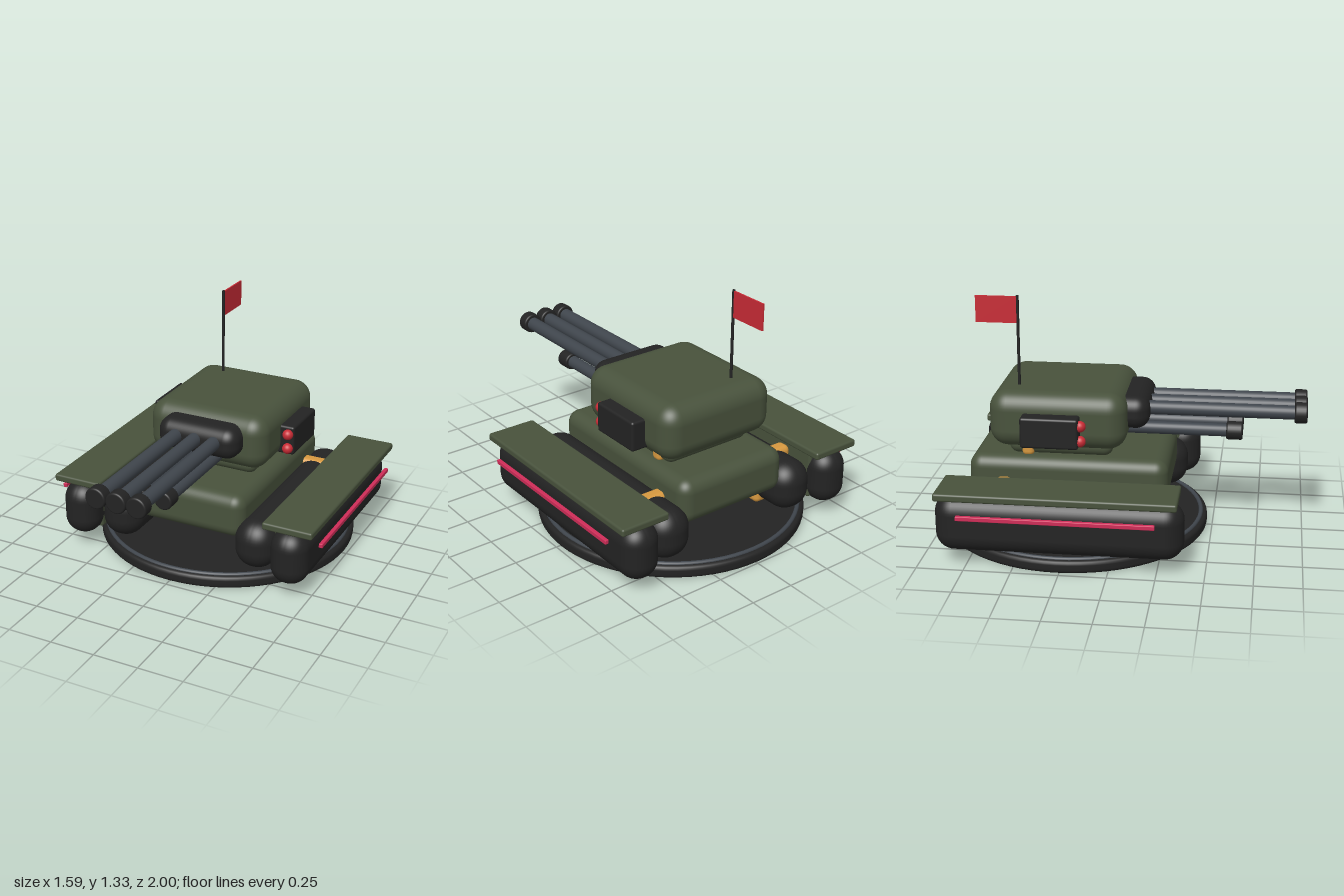
import * as THREE from 'three';
import { RoundedBoxGeometry } from 'three/addons/geometries/RoundedBoxGeometry.js';

const material = (name, color) => {
  const m = new THREE.MeshStandardMaterial({ color });
  m.name = name;
  return m;
};

export function createModel() {
  const olive = material('olive', 0x48523c);
  const black = material('black', 0x232323);
  const steel = material('steel', 0x3f454c);
  const amber = material('amber', 0xd6983f);
  const red = material('red', 0xc82b35);
  const pink = material('pink', 0xcf2d58);

  const model = new THREE.Group();
  model.name = 'tank';

  const add = (name, geometry, mat, x, y, z) => {
    const mesh = new THREE.Mesh(geometry, mat);
    mesh.name = name;
    mesh.position.set(x, y, z);
    model.add(mesh);
    return mesh;
  };
  // Rounded block given by its limits on each axis
  const block = (name, mat, [x0, x1], [y0, y1], [z0, z1], radius) =>
    add(name, new RoundedBoxGeometry(x1 - x0, y1 - y0, z1 - z0, 6, radius), mat,
      (x0 + x1) / 2, (y0 + y1) / 2, (z0 + z1) / 2);
  const mirrored = (s, a, b) => (s > 0 ? [a, b] : [-b, -a]);
  // Solid of revolution with softened rims, running from 0 to height
  const softDisc = (radius, height, bevel, segments) => {
    const pts = [new THREE.Vector2(0, 0)];
    for (const [cy, start] of [[bevel, -Math.PI / 2], [height - bevel, 0]]) {
      for (let i = 0; i <= 4; i++) {
        const a = start + (i / 4) * (Math.PI / 2);
        pts.push(new THREE.Vector2(radius - bevel + bevel * Math.cos(a), cy + bevel * Math.sin(a)));
      }
    }
    pts.push(new THREE.Vector2(0, height));
    return new THREE.LatheGeometry(pts, segments);
  };

  // Round display base with inlaid ring
  add('base', softDisc(0.735, 0.07, 0.022, 72), black, 0, 0, -0.265);
  add('baseRing', new THREE.TorusGeometry(0.7, 0.012, 10, 72), steel, 0, 0.07, -0.265)
    .rotation.x = Math.PI / 2;

  // Hull, turret neck and turret
  block('hull', olive, [-0.34, 0.34], [0.23, 0.48], [-0.805, 0.275], 0.07);
  block('turretNeck', olive, [-0.27, 0.27], [0.475, 0.6], [-0.595, -0.03], 0.05);
  block('neckBand', amber, [-0.28, 0.28], [0.47, 0.6], [-0.52, -0.455], 0.025);
  block('turret', olive, [-0.355, 0.355], [0.53, 0.84], [-0.69, 0.05], 0.1);

  // Running gear and side pods, mirrored left and right
  for (const s of [1, -1]) {
    block('outerTrack', black, mirrored(s, 0.53, 0.74), [0.08, 0.39], [-0.91, 0.39], 0.1);
    block('innerTrack', black, mirrored(s, 0.29, 0.53), [0.085, 0.365], [-0.86, 0.33], 0.115);
    block('trackBand', amber, mirrored(s, 0.29, 0.53), [0.08, 0.37], [-0.65, -0.565], 0.03);
    block('trackSkirt', olive, mirrored(s, 0.53, 0.57), [0.11, 0.4], [-0.8, 0.27], 0.015);
    block('fender', olive, mirrored(s, 0.495, 0.778), [0.388, 0.43], [-0.89, 0.36], 0.012);
    block('lightStrip', pink, mirrored(s, 0.775, 0.797), [0.296, 0.32], [-0.77, 0.25], 0.004);

    block('sidePod', black, mirrored(s, 0.3, 0.435), [0.57, 0.737], [-0.5, -0.19], 0.014);
    for (const y of [0.61, 0.693]) {
      add('podLamp', new THREE.SphereGeometry(0.03, 20, 14), red, s * 0.402, y, -0.182);
    }
  }

  // Gun mantlet and barrels
  block('mantlet', black, [-0.24, 0.24], [0.62, 0.8], [-0.05, 0.162], 0.075);
  const gun = (x, y, z0, z1, z2, r, muzzleR) => {
    const barrel = new THREE.CylinderGeometry(r, r, z1 - z0, 28);
    add('barrel', barrel, steel, x, y, (z0 + z1) / 2).rotation.x = Math.PI / 2;
    add('muzzle', softDisc(muzzleR, z2 - z1, 0.01, 28), black, x, y, z1).rotation.x = Math.PI / 2;
  };
  for (const x of [-0.115, 0, 0.115]) gun(x, 0.72, 0.1, 0.932, 1, 0.038, 0.057);
  for (const x of [-0.075, 0.075]) gun(x, 0.592, 0, 0.57, 0.658, 0.035, 0.05);

  // Antenna with pennant
  add('antenna', new THREE.CylinderGeometry(0.008, 0.008, 0.53, 12), black, -0.172, 1.065, -0.545);
  add('flag', new THREE.BoxGeometry(0.009, 0.145, 0.225), red, -0.172, 1.253, -0.66);

  return model;
}
